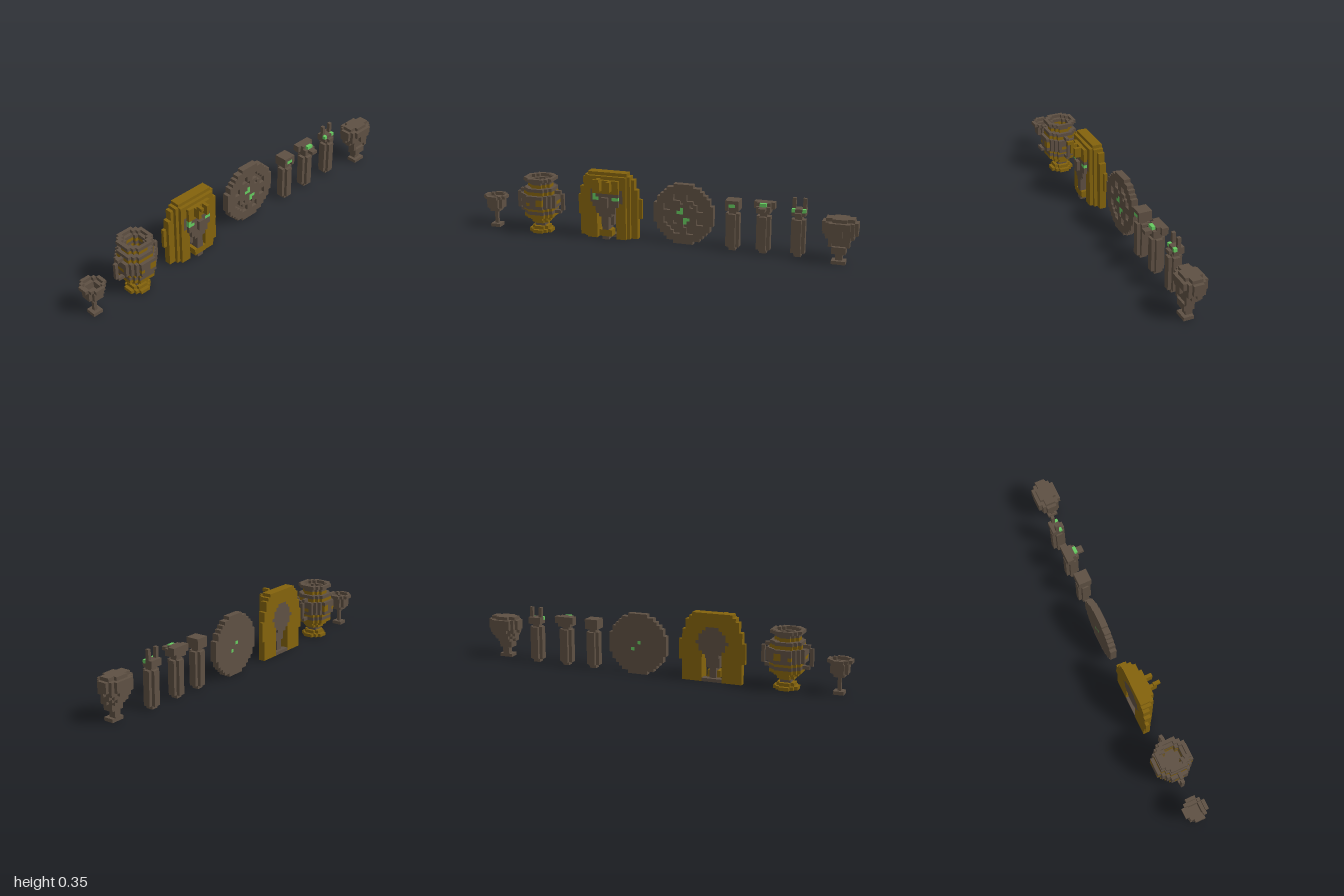
import * as THREE from 'three';

const V = 2 / 114; // one block
const mats = {};
for (const [key, name, color] of [['d', 'dark stone', 0x5e5043], ['g', 'old gold', 0x84630c], ['e', 'green gem', 0x66cc60]]) {
  mats[key] = new THREE.MeshStandardMaterial({ color });
  mats[key].name = name;
}

// Block sculptor: fill, paint and carve cells, then mesh only the exposed faces.
function sculpt(name, shape) {
  const cells = new Map();
  const id = (x, y, z) => (x * 64 + y) * 64 + z;
  const put = (m, x, y, z) => m ? cells.set(id(x, y, z), { m, p: [x, y, z] }) : cells.delete(id(x, y, z));
  const box = (m, x0, x1, y0, y1, z0, z1) => {
    for (let x = x0; x < x1; x++) for (let y = y0; y < y1; y++) for (let z = z0; z < z1; z++) put(m, x, y, z);
  };
  // Stack of elliptical layers
  const disc = (m, cx, cz, rx, y0, y1, rz = rx) => {
    for (let x = Math.floor(cx - rx); x < cx + rx; x++) for (let z = Math.floor(cz - rz); z < cz + rz; z++) {
      if (((x + 0.5 - cx) / rx) ** 2 + ((z + 0.5 - cz) / rz) ** 2 <= 1) box(m, x, x + 1, y0, y1, z, z + 1);
    }
  };
  // Upright round plate facing front
  const plate = (m, cx, cy, r, z0, z1) => {
    for (let x = Math.floor(cx - r); x < cx + r; x++) for (let y = Math.floor(cy - r); y < cy + r; y++) {
      if ((x + 0.5 - cx) ** 2 + (y + 0.5 - cy) ** 2 <= r * r) box(m, x, x + 1, y, y + 1, z0, z1);
    }
  };
  // Repaint existing cells only
  const paint = (m, x0, x1, y0, y1, z0, z1) => {
    for (const c of cells.values()) {
      const [x, y, z] = c.p;
      if (x >= x0 && x < x1 && y >= y0 && y < y1 && z >= z0 && z < z1) c.m = m;
    }
  };
  shape({ box, disc, plate, paint });

  const group = new THREE.Group();
  group.name = name;
  for (const key in mats) {
    const pos = [];
    for (const { m, p } of cells.values()) {
      if (m !== key) continue;
      for (let a = 0; a < 3; a++) for (const s of [0, 1]) {
        const n = [...p];
        n[a] += s ? 1 : -1;
        if (cells.has(id(...n))) continue;
        const corner = (u, v) => {
          const q = [...p];
          q[a] += s; q[(a + 1) % 3] += u; q[(a + 2) % 3] += v;
          return [(q[0] - 57) * V, q[1] * V, (q[2] - 5.5) * V];
        };
        const c = [corner(0, 0), corner(1, 0), corner(1, 1), corner(0, 1)];
        if (!s) c.reverse();
        pos.push(...c[0], ...c[1], ...c[2], ...c[0], ...c[2], ...c[3]);
      }
    }
    if (!pos.length) continue;
    const geo = new THREE.BufferGeometry();
    geo.setAttribute('position', new THREE.Float32BufferAttribute(pos, 3));
    geo.computeVertexNormals();
    const mesh = new THREE.Mesh(geo, mats[key]);
    mesh.name = `${name} ${mats[key].name}`;
    group.add(mesh);
  }
  return group;
}

const goblet = () => sculpt('goblet', ({ disc, box }) => {
  box('d', 2, 5, 0, 1, 4, 7);
  box('d', 3, 4, 1, 5, 5, 6);
  disc('d', 3.5, 5.5, 1.6, 5, 6);
  disc('d', 3.5, 5.5, 2.5, 6, 9);
  disc('d', 3.5, 5.5, 3.5, 9, 10);
  disc(null, 3.5, 5.5, 1.6, 7, 9);
  disc(null, 3.5, 5.5, 2.5, 9, 10);
});

const vase = () => sculpt('vase', ({ disc, box, paint }) => {
  // radius and colour of each layer from the foot up
  const radii = [3.5, 2.5, 1.6, 2.5, 3.5, 4.5, 4.5, 4.5, 5.5, 5.5, 5.5, 5.5, 4.5, 4.5, 3.5, 3.5, 4.5];
  radii.forEach((r, y) => disc('ggdgggdgddddgdgdd'[y], 18.5, 5.5, r, y, y + 1));
  // gold lozenges on the band
  for (const z of [0, 10]) {
    paint('g', 16, 17, 9, 10, z, z + 1);
    paint('g', 19, 21, 9, 11, z, z + 1);
  }
  paint('g', 13, 14, 9, 10, 4, 7);
  paint('g', 23, 24, 9, 10, 4, 7);
  disc(null, 18.5, 5.5, 2.5, 12, 16);
  disc(null, 18.5, 5.5, 3.5, 16, 17);
  // looped handles
  for (const [outer, in0, in1] of [[11, 12, 14], [25, 23, 25]]) {
    box('d', outer, outer + 1, 7, 12, 5, 6);
    box('d', in0, in1, 6, 7, 5, 6);
    box('d', in0, in1, 12, 13, 5, 6);
  }
});

const mask = () => sculpt('burial mask', ({ box, paint, plate }) => {
  const half = y => y < 6 ? 9 : y < 12 ? 10 : y < 15 ? 9 : y < 18 ? 8 : y < 19 ? 7 : 6;
  // headdress, stepping inwards toward the front
  [0, 1, 3, 4].forEach((inset, k) => {
    for (let y = 0; y < (k < 3 ? 20 : 19); y++) {
      const h = Math.min(half(y), 10 - inset);
      box('g', 40 - h, 40 + h, y, y + 1, 3 + k, 4 + k);
    }
  });
  box('g', 36, 44, 14, 18, 7, 8);
  // opening between the lappets
  box(null, 37, 43, 0, 8, 3, 8);
  // face
  plate('d', 40, 11.5, 4.6, 3, 5);
  box(null, 37, 43, 0, 7, 3, 8);
  box(null, 35, 45, 11, 15, 6, 7);
  box('d', 35, 45, 11, 15, 5, 7);
  box('d', 36, 44, 10, 14, 5, 8);
  box('d', 37, 43, 8, 10, 3, 8);
  box('d', 38, 42, 7, 8, 3, 8);
  box('d', 39, 41, 10, 13, 8, 9);
  for (const x of [36, 42]) paint('e', x, x + 2, 12, 13, 7, 8);
  paint('e', 36, 37, 13, 14, 7, 8);
  // neck and beard
  box('d', 39, 41, 0, 8, 4, 8);
  box('d', 38, 42, 4, 7, 4, 6);
  box('g', 38, 42, 1, 3, 5, 8);
  box('d', 37, 43, 0, 1, 3, 5);
  // brow ornaments
  for (const [x0, x1] of [[38, 39], [41, 42]]) {
    box('g', x0, x1, 15, 18, 8, 10);
  }
  box('g', 38, 39, 18, 19, 9, 11);
});

const shield = () => sculpt('round shield', ({ plate, box, paint }) => {
  plate('d', 63, 9, 9.1, 3, 5);
  // sunken ring broken by bridges
  plate(null, 63, 9, 6.3, 4, 5);
  plate('d', 63, 9, 4.7, 4, 5);
  for (const [x, y] of [[62, 3], [62, 13], [57, 8], [67, 8], [58, 12], [66, 4]]) box('d', x, x + 2, y, y + 2, 4, 5);
  for (const [x, y] of [[60, 6], [65, 11], [62, 12], [63, 5]]) box(null, x, x + 1, y, y + 1, 4, 5);
  // gems
  paint('e', 61, 63, 9, 10, 4, 5);
  paint('e', 62, 63, 10, 11, 4, 5);
  paint('e', 63, 65, 7, 8, 4, 5);
  paint('e', 63, 64, 6, 7, 4, 5);
  paint('e', 62, 63, 9, 10, 3, 4);
  paint('e', 64, 65, 7, 8, 3, 4);
});

const jar = (name, cx, head) => sculpt(name, s => {
  s.disc('d', cx, 5, 1, 0, 1);
  s.disc('d', cx, 5, 2, 1, 11);
  s.disc('d', cx, 5, 1, 11, 12);
  head(s);
});

const skull = () => sculpt('skull', ({ disc, box }) => {
  // cranium
  const rx = [2, 3, 4, 4.5, 5, 5, 5, 4];
  rx.forEach((r, i) => disc('d', 109, 6.5, r, i + 5, i + 6, [2, 2.5, 3, 3.5, 3.5, 3.5, 3.5, 2.5][i]));
  // eye sockets and cheek bones
  for (const x of [106, 110]) box(null, x, x + 2, 8, 10, 9, 10);
  for (const x of [106, 111]) box('d', x, x + 1, 5, 7, 7, 9);
  // jaw
  box('d', 107, 111, 3, 5, 6, 9);
  box('d', 108, 110, 1, 3, 6, 8);
  box('d', 107, 111, 0, 1, 6, 9);
});

export function createModel() {
  const model = new THREE.Group();
  model.name = 'tomb treasures';
  model.add(goblet(), vase(), mask(), shield(), skull());
  model.add(jar('human headed jar', 78, ({ box, paint }) => {
    box('d', 76, 80, 12, 15, 3, 7);
    box(null, 77, 79, 12, 13, 6, 7);
    paint('e', 77, 79, 13, 14, 6, 7);
  }));
  model.add(jar('falcon headed jar', 87, ({ box }) => {
    box('d', 85, 89, 12, 14, 3, 7);
    box('d', 84, 90, 13, 15, 3, 5);
    box('d', 85, 89, 14, 15, 3, 6);
    box('e', 86, 88, 14, 15, 6, 7);
    box('d', 86, 88, 13, 14, 7, 9);
  }));
  model.add(jar('jackal headed jar', 97, ({ box, paint }) => {
    box('d', 95, 99, 12, 14, 3, 6);
    box('d', 96, 98, 12, 13, 6, 7);
    for (const x of [95, 98]) box('d', x, x + 1, 14, 17, 4, 5);
    paint('e', 95, 96, 13, 14, 5, 6);
    paint('e', 98, 99, 13, 14, 5, 6);
  }));
  return model;
}
